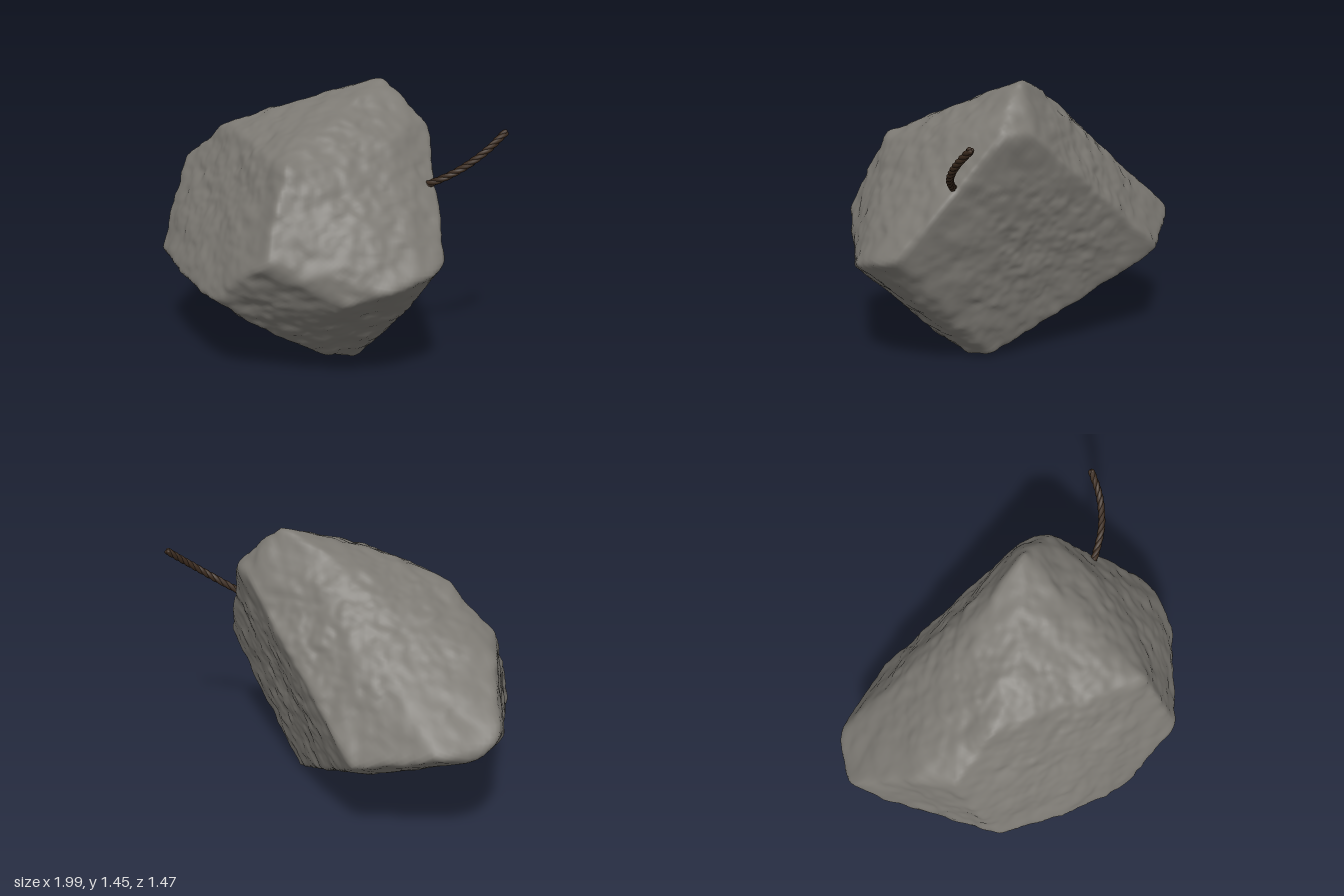
import * as THREE from 'three';
import { mergeVertices } from 'three/addons/utils/BufferGeometryUtils.js';
import { ConvexGeometry } from 'three/addons/geometries/ConvexGeometry.js';

const CENTRE = new THREE.Vector3(0, 0.7, 0);

// Corners of the rough-hewn block, slightly enlarged to allow for worn edges
const CORNERS = [
  // crown and right shoulder
  [0.3, 1.44, -0.28], [0.41, 1.37, -0.28], [0.43, 1.2, -0.42], [0.58, 1.2, -0.31],
  [0.53, 1.17, 0], [0, 1.34, -0.27], [-0.07, 1.31, 0.01],
  // top edge of the front face
  [-0.42, 1.18, 0.13], [0.28, 1.11, 0.52],
  // left end
  [-0.72, 0.95, 0.12], [-0.82, 0.9, -0.1], [-1, 0.65, -0.38], [-0.92, 0.56, -0.5],
  [-0.8, 0.6, -0.63], [-0.4, 0.48, -0.74], [-0.85, 0.47, -0.1], [-0.78, 0.52, 0.15],
  // lower edge of the front face
  [-0.68, 0.5, 0.36], [-0.4, 0.47, 0.55], [0, 0.43, 0.7], [0.2, 0.6, 0.73], [0.32, 0.68, 0.73],
  // right corner
  [0.6, 0.47, 0.51], [0.79, 0.54, 0.38], [0.91, 0.6, 0.18], [0.91, 0.64, 0.05], [0.67, 0.32, 0.05],
  // foot and underside
  [0.33, 0.01, -0.13], [0.34, 0, 0.02], [0.3, 0.06, 0.2], [0.2, 0.19, 0.44], [0, 0.1, 0.1],
  [-0.55, 0.36, -0.3], [-0.45, 0.4, -0.6], [-0.7, 0.44, -0.4],
].map((c) => new THREE.Vector3(...c).sub(CENTRE).multiplyScalar(1.012));

// Smooth lattice noise in 0..1
function hash(x, y, z) {
  const s = Math.sin(x * 127.1 + y * 311.7 + z * 74.7) * 43758.5453;
  return s - Math.floor(s);
}
function noise(x, y, z) {
  const [i, j, k] = [x, y, z].map(Math.floor);
  const [u, v, w] = [x - i, y - j, z - k].map((t) => t * t * (3 - 2 * t));
  const mix = THREE.MathUtils.lerp;
  const row = (b, c) => mix(hash(i, j + b, k + c), hash(i + 1, j + b, k + c), u);
  return mix(mix(row(0, 0), row(1, 0), v), mix(row(0, 1), row(1, 1), v), w);
}

// Outward planes of the block's facets
function facetPlanes() {
  const pos = new ConvexGeometry(CORNERS).getAttribute('position');
  const planes = [];
  const tri = new THREE.Triangle();
  for (let i = 0; i < pos.count; i += 3) {
    tri.setFromAttributeAndIndices(pos, i, i + 1, i + 2);
    if (tri.getArea() < 1e-5) continue;
    const n = tri.getNormal(new THREE.Vector3());
    planes.push({ n, d: n.dot(tri.a) });
  }
  return planes;
}

// Sphere pressed onto the facets, with softened edges and a chipped surface
function rockGeometry() {
  const planes = facetPlanes();
  let geo = new THREE.IcosahedronGeometry(1, 48);
  geo.deleteAttribute('normal');
  geo.deleteAttribute('uv');
  geo = mergeVertices(geo, 1e-5);
  const pos = geo.getAttribute('position');
  const p = new THREE.Vector3();
  const SHARP = 110;
  for (let i = 0; i < pos.count; i++) {
    p.fromBufferAttribute(pos, i).normalize();
    let sum = 0;
    for (const { n, d } of planes) {
      const t = n.dot(p) / d;
      if (t > 0) sum += Math.pow(t, SHARP);
    }
    const r = Math.pow(sum, -1 / SHARP);
    const x = p.x * r + 10, y = p.y * r + 10, z = p.z * r + 10;
    const rough = 0.022 * (noise(x * 6, y * 8, z * 6) - 0.5)
      + 0.016 * (noise(x * 14, y * 18, z * 14) - 0.5)
      + 0.009 * (noise(x * 28, y * 34, z * 28) - 0.5);
    p.multiplyScalar(r + rough);
    pos.setXYZ(i, p.x, p.y, p.z);
  }
  // rest the foot on the ground
  geo.computeBoundingBox();
  geo.translate(0, -geo.boundingBox.min.y, 0);
  geo.computeVertexNormals();
  return geo;
}

// Strand winding around the cord's path
class Strand extends THREE.Curve {
  constructor(path, phase) {
    super();
    this.path = path;
    this.phase = phase;
  }
  getPoint(t, target = new THREE.Vector3()) {
    const tangent = this.path.getTangent(t);
    const side = new THREE.Vector3(0, 1, 0).cross(tangent).normalize();
    const up = tangent.clone().cross(side);
    const a = this.phase + t * Math.PI * 2 * 5;
    return target.copy(this.path.getPoint(t))
      .addScaledVector(side, 0.007 * Math.cos(a))
      .addScaledVector(up, 0.007 * Math.sin(a));
  }
}

export function createModel() {
  const stone = new THREE.MeshStandardMaterial({ color: 0x7c7973 });
  stone.name = 'stone grey';
  const brown = new THREE.MeshStandardMaterial({ color: 0x39291d });
  brown.name = 'cord brown';

  const model = new THREE.Group();
  model.name = 'rockWithCord';

  const rock = new THREE.Mesh(rockGeometry(), stone);
  rock.name = 'rock';
  model.add(rock);

  // Twisted cord curving out of the right face
  const cord = new THREE.Group();
  cord.name = 'cord';
  const path = new THREE.CatmullRomCurve3([
    new THREE.Vector3(0.6, 0.935, -0.1),
    new THREE.Vector3(0.69, 0.97, -0.122),
    new THREE.Vector3(0.83, 1.05, -0.185),
    new THREE.Vector3(0.925, 1.14, -0.275),
    new THREE.Vector3(0.98, 1.23, -0.38),
  ]);
  for (let i = 0; i < 3; i++) {
    const strand = new Strand(path, (i * Math.PI * 2) / 3);
    const mesh = new THREE.Mesh(new THREE.TubeGeometry(strand, 90, 0.0125, 8), brown);
    mesh.name = 'cordStrand';
    const tip = new THREE.Mesh(new THREE.SphereGeometry(0.0125, 8, 6), brown);
    tip.name = 'strandTip';
    tip.position.copy(strand.getPoint(1));
    cord.add(mesh, tip);
  }
  model.add(cord);
  return model;
}
